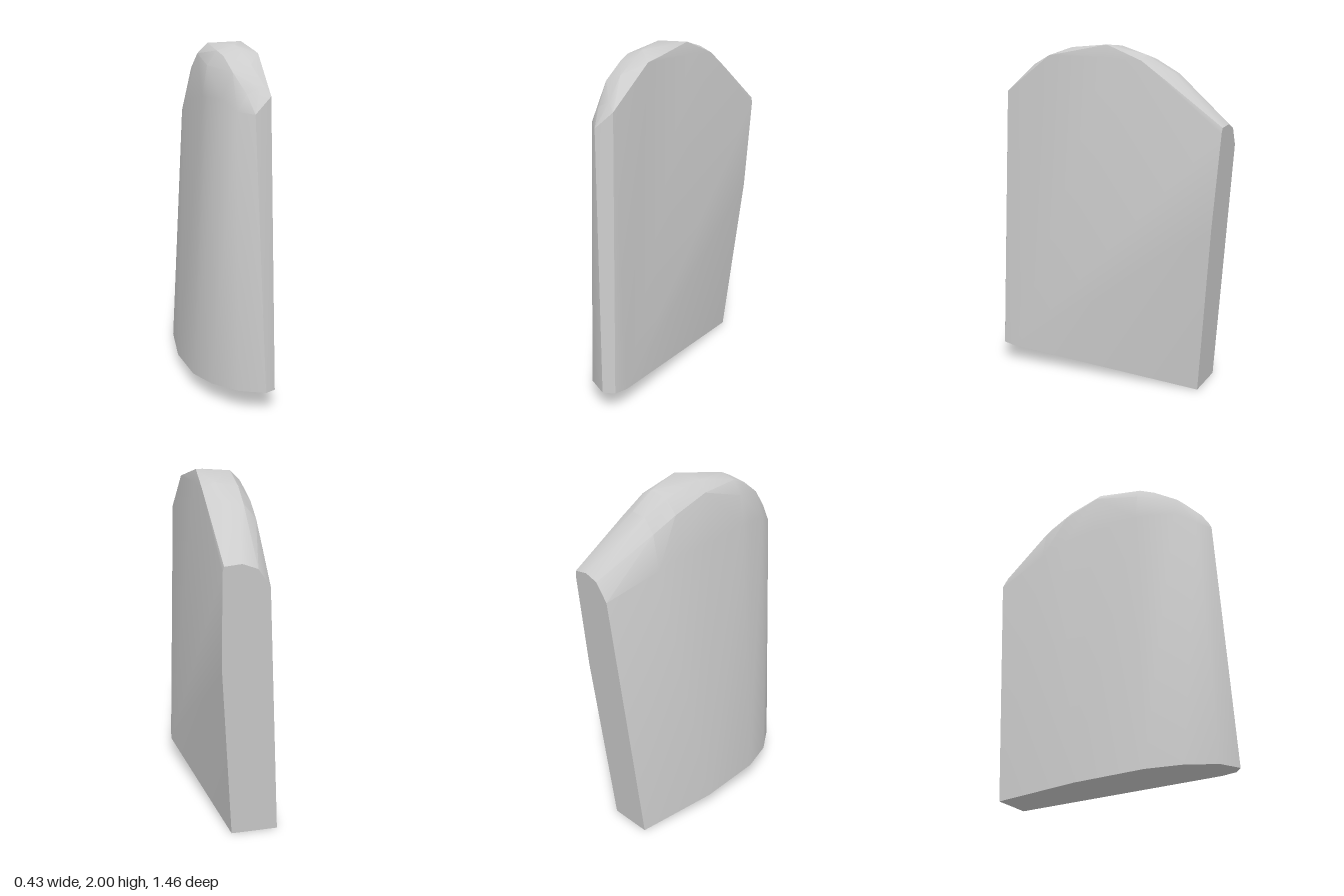
import * as THREE from 'three';
import { ConvexGeometry } from 'three/addons/geometries/ConvexGeometry.js';
import { toCreasedNormals } from 'three/addons/utils/BufferGeometryUtils.js';

export function createModel() {
  const group = new THREE.Group();
  group.name = 'standingStone';
  const stone = new THREE.MeshStandardMaterial({ color: 0xcccccc });
  stone.name = 'palestone';

  const points = [];
  const add = (x, y, z) => points.push(new THREE.Vector3(x, y, z));

  // Sloping base: outline as [x, z], rising toward the front
  const base = [
    [0.09, -0.59], [-0.18, -0.59], [-0.22, -0.1], [-0.19, 0.3], [-0.12, 0.5],
    [0, 0.66], [0.14, 0.73], [0.2, 0.69], [0.213, 0.6],
  ];
  for (const [x, z] of base) add(x, 0.09 * (z + 0.59), z);

  // Flat back face, leaning outward, with a bend in its left edge
  const back = [[0.168, 1.0], [0.178, 1.54], [0.17, 1.57], [0.075, 1.58], [-0.01, 1.55], [-0.08, 1.45]];
  for (const [x, y] of back) add(x, y, -0.59 - 0.0886 * y);

  // Rounded cap: slices along z, each from the flat side over to the bulging side
  const cap = [
    { z: -0.4, rim: [[0.174, 1.81], [0.08, 1.855], [-0.02, 1.84], [-0.09, 1.76], [-0.135, 1.57]] },
    { z: -0.25, rim: [[0.175, 1.915], [0.1, 1.945], [-0.03, 1.92], [-0.1, 1.84], [-0.142, 1.62]] },
    { z: -0.03, rim: [[0.175, 1.93], [0.16, 2.0], [-0.04, 1.99], [-0.1, 1.93], [-0.142, 1.66]] },
    { z: 0.25, rim: [[0.173, 1.95], [0.06, 1.98], [-0.04, 1.95], [-0.095, 1.87], [-0.122, 1.7]] },
    { z: 0.34, rim: [[0.173, 1.935], [0.08, 1.945], [-0.02, 1.92], [-0.105, 1.7]] },
    { z: 0.48, rim: [[0.173, 1.83], [0.1, 1.88], [0, 1.84], [-0.06, 1.7]] },
    { z: 0.6, rim: [[0.12, 1.76], [0.05, 1.73], [0, 1.64]] },
  ];
  for (const { z, rim } of cap) for (const [x, y] of rim) add(x, y, z);

  // Narrow front chamfer, upper ends
  add(0.08, 1.63, 0.67);
  add(0.173, 1.72, 0.63);

  // Soft shading over the curves, sharp arrises elsewhere
  const slab = new THREE.Mesh(toCreasedNormals(new ConvexGeometry(points), 0.5), stone);
  slab.name = 'slab';
  group.add(slab);
  return group;
}
